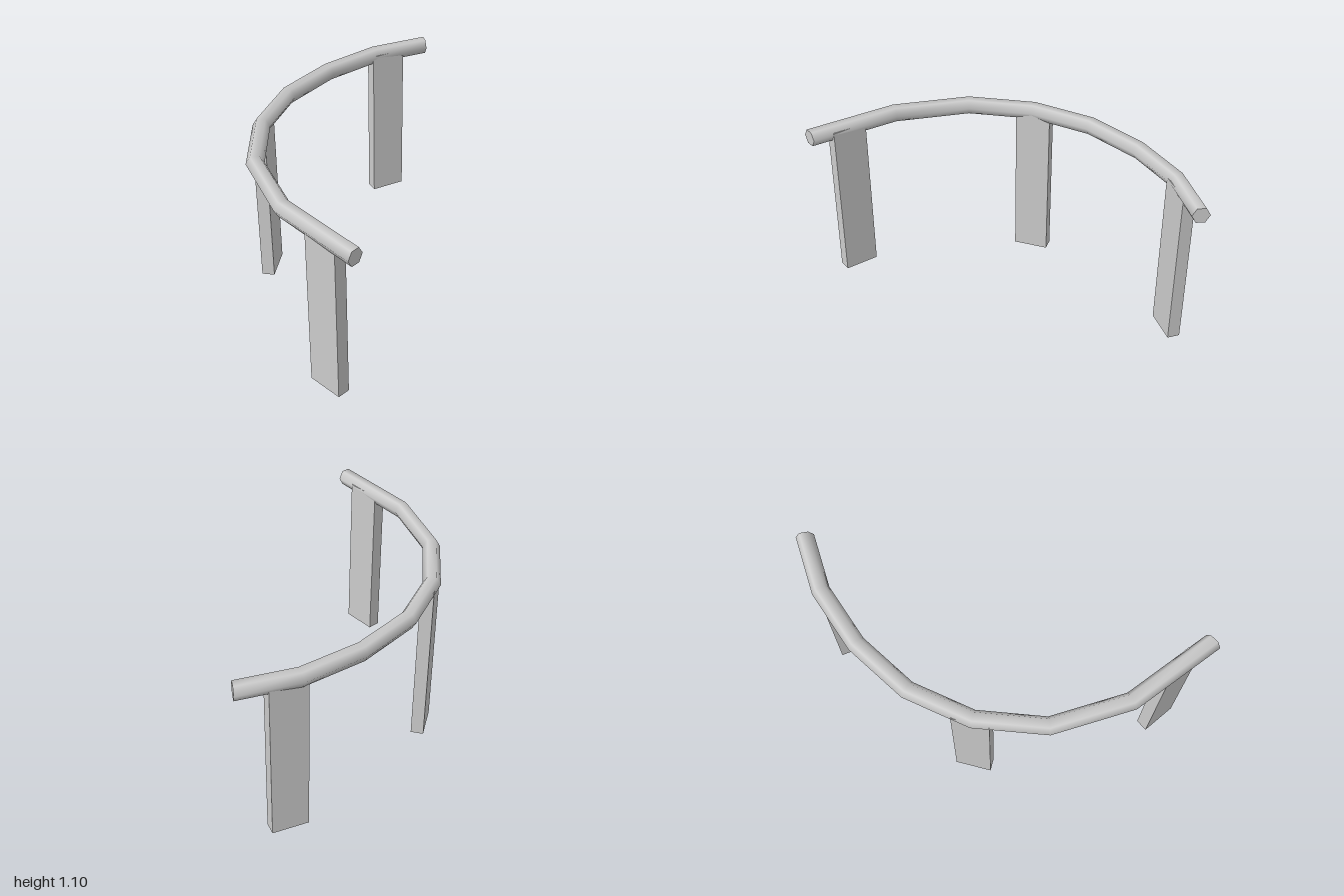
import * as THREE from 'three';

const RAIL_Y = 1.053, RAIL_R = 0.055, SIDES = 6;

// Rail centre line, seen from above
const path = [
  [-0.735, -0.975], [-0.837, -0.617], [-0.837, -0.22], [-0.74, 0.177],
  [-0.525, 0.527], [-0.19, 0.8], [0.282, 0.942], [0.881, 0.915],
].map(([x, z]) => new THREE.Vector2(x, z));

// Tangent at a joint: the mean of its two segments; the cut ends follow the curve
function tangent(i) {
  if (i === 0) return new THREE.Vector2(-0.406, 0.914);
  if (i === path.length - 1) return new THREE.Vector2(0.988, -0.156);
  const a = path[i].clone().sub(path[i - 1]).normalize();
  const b = path[i + 1].clone().sub(path[i]).normalize();
  return a.add(b).normalize();
}

// Hexagonal cross-section at joint i, flat on top and bottom
function ring(i) {
  const t = tangent(i), out = [];
  for (let j = 0; j < SIDES; j++) {
    const a = (j / SIDES) * Math.PI * 2, c = Math.cos(a) * RAIL_R;
    out.push(path[i].x + t.y * c, RAIL_Y + Math.sin(a) * RAIL_R, path[i].y - t.x * c);
  }
  return out;
}

function railGeometry() {
  const pos = [], idx = [], last = path.length - 1;
  for (let i = 0; i <= last; i++) pos.push(...ring(i));
  for (let i = 0; i < last; i++) {
    for (let j = 0; j < SIDES; j++) {
      const k = (j + 1) % SIDES;
      const a = i * SIDES + j, b = i * SIDES + k, c = a + SIDES, d = b + SIDES;
      idx.push(a, b, c, b, d, c);
    }
  }
  // End caps, with their own vertices so their edges stay sharp
  for (const end of [0, last]) {
    const base = pos.length / 3;
    pos.push(...ring(end));
    for (let j = 1; j < SIDES - 1; j++) {
      if (end) idx.push(base, base + j, base + j + 1);
      else idx.push(base, base + j + 1, base + j);
    }
  }
  const geo = new THREE.BufferGeometry();
  geo.setAttribute('position', new THREE.Float32BufferAttribute(pos, 3));
  geo.setIndex(idx);
  geo.computeVertexNormals();
  return geo;
}

// Upright plank, hollow and open at the bottom
function legGeometry() {
  const h = 1.065;
  const geo = new THREE.BoxGeometry(0.228, h, 0.08).translate(0, h / 2, 0);
  const idx = Array.from(geo.index.array);
  idx.splice(18, 6); // drop the bottom face
  geo.setIndex(idx);
  geo.clearGroups();
  return geo;
}

export function createModel() {
  const group = new THREE.Group();
  group.name = 'curvedRailing';
  const material = new THREE.MeshStandardMaterial({ color: 0xcccccc, side: THREE.DoubleSide });

  const rail = new THREE.Mesh(railGeometry(), material);
  rail.name = 'rail';
  group.add(rail);

  // Legs turned to follow the rail: name, x, z, turn
  const leg = legGeometry();
  for (const [name, x, z, turn] of [
    ['frontLeg', 0.627, 0.918, 0.106],
    ['middleLeg', -0.525, 0.516, -0.845],
    ['backLeg', -0.808, -0.69, 1.37],
  ]) {
    const mesh = new THREE.Mesh(leg, material);
    mesh.name = name;
    mesh.position.set(x, 0, z);
    mesh.rotation.y = turn;
    group.add(mesh);
  }
  return group;
}
